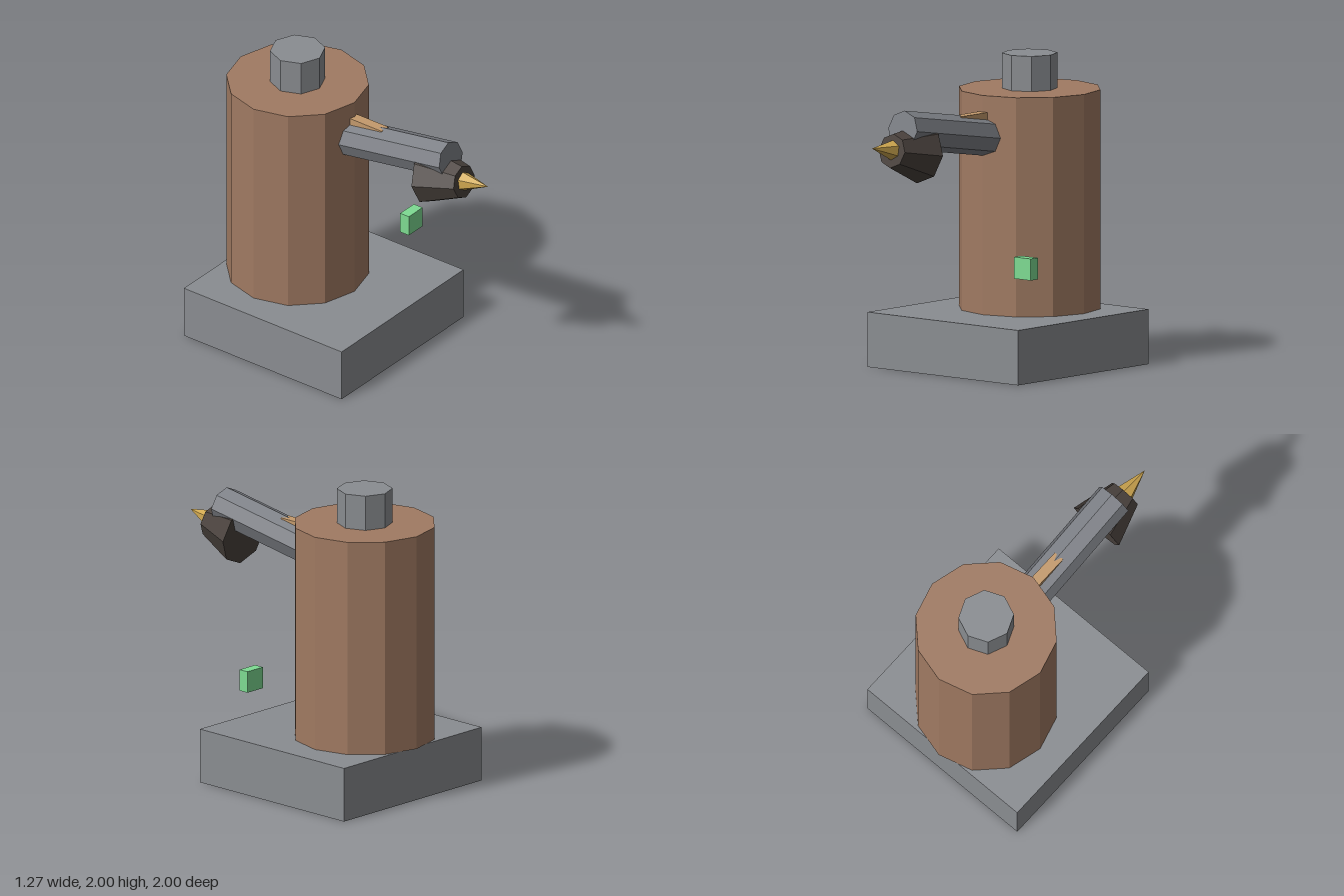
import * as THREE from 'three';

const TILT = 0.16; // upward pitch of the arm and head

function addPart(group, name, geometry, color, x, y, z) {
  const material = new THREE.MeshStandardMaterial({ color, flatShading: true });
  const mesh = new THREE.Mesh(geometry, material);
  mesh.name = name;
  mesh.position.set(x, y, z);
  group.add(mesh);
  return mesh;
}

// Faceted cylinder or cone whose axis points forward and slightly up, from its rear centre
function addTilted(group, name, rFront, rBack, length, sides, color, y, z) {
  const geometry = new THREE.CylinderGeometry(rFront, rBack, length, sides);
  geometry.translate(0, length / 2, 0);
  const mesh = addPart(group, name, geometry, color, 0, y, z);
  mesh.rotation.x = Math.PI / 2 - TILT;
  return mesh;
}

export function createModel() {
  const model = new THREE.Group();
  model.name = 'model';
  const grey = 0x8a8d91, wood = 0xa07a62, dark = 0x4a423d;

  // Base, trunk and cap
  addPart(model, 'base', new THREE.BoxGeometry(1.275, 0.355, 1.275), grey, 0, 0.1775, -0.328);
  addPart(model, 'trunk', new THREE.CylinderGeometry(0.46, 0.46, 1.417, 12), wood, 0, 1.0635, -0.54);
  addPart(model, 'cap', new THREE.CylinderGeometry(0.178, 0.178, 0.25, 8), grey, 0, 1.875, -0.54);

  // Arm, rooted inside the trunk
  const armLength = 0.95;
  addTilted(model, 'arm', 0.123, 0.123, armLength, 8, 0x7d8086,
    1.634 - armLength * Math.sin(TILT), 0.7 - armLength * Math.cos(TILT));

  // Strip along the top of the arm
  addPart(model, 'strip', new THREE.BoxGeometry(0.07, 0.07, 0.32), 0xc49a6c, 0, 1.63, 0.007);

  // Head and pointed tip
  addTilted(model, 'head', 0.11, 0.193, 0.28, 8, dark, 1.464, 0.53);
  addTilted(model, 'tip', 0, 0.064, 0.198, 6, 0xd0a850, 1.514, 0.805);

  // Small floating block
  addPart(model, 'block', new THREE.BoxGeometry(0.143, 0.14, 0.07), 0x7edb92, 0.458, 0.71, 0.026);

  return model;
}
